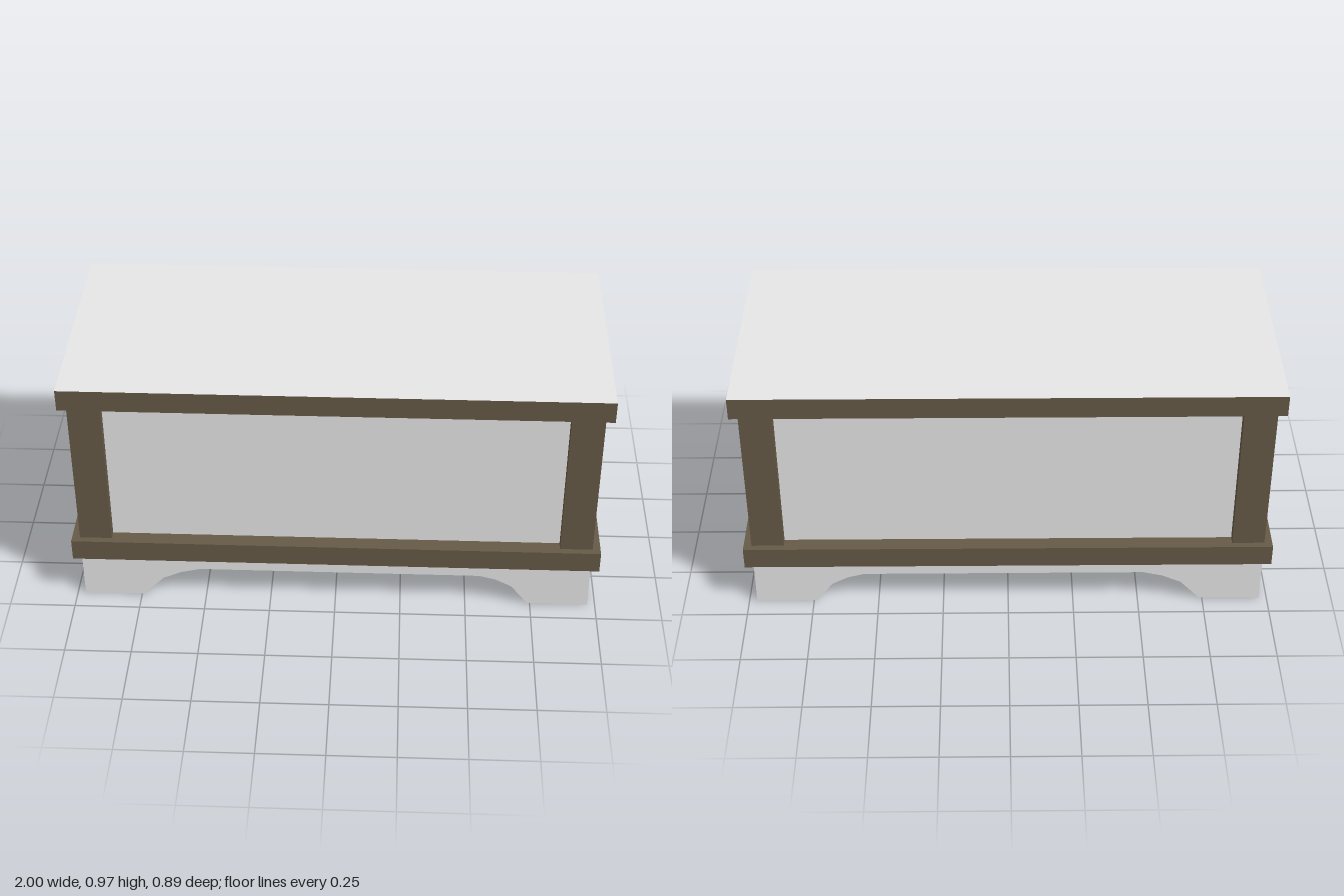
import * as THREE from 'three';
import { toCreasedNormals } from 'three/addons/utils/BufferGeometryUtils.js';

const paint = (name, color) => {
  const m = new THREE.MeshStandardMaterial({ color });
  m.name = name;
  return m;
};

export function createModel() {
  const grey = paint('light grey', 0xe6e6e6);
  const brown = paint('dark wood', 0x665947);
  const chest = new THREE.Group();
  chest.name = 'chest';

  const add = (name, geometry, material, x = 0, y = 0, z = 0, turn = 0) => {
    const mesh = new THREE.Mesh(geometry, material);
    mesh.name = name;
    mesh.position.set(x, y, z);
    mesh.rotation.y = turn;
    chest.add(mesh);
  };
  const box = (w, h, d) => new THREE.BoxGeometry(w, h, d);
  const extrude = (shape, depth) => new THREE.ExtrudeGeometry(shape, { depth, bevelEnabled: false });

  // Plinth boards with an arch cut from the lower edge, softly shaded underneath
  const W = 0.97, D = 0.42, T = 0.1;
  const archedBoard = (half, arch) => {
    const points = [[-half, 0], ...arch, [half, 0], [half, 0.2], [-half, 0.2]];
    const shape = new THREE.Shape(points.map(([x, y]) => new THREE.Vector2(x, y)));
    return toCreasedNormals(extrude(shape, T), 1);
  };
  const longBoard = archedBoard(W, [[-0.74, 0], [-0.662, 0.083], [-0.59, 0.115], [-0.517, 0.132],
    [0.55, 0.132], [0.615, 0.115], [0.675, 0.083], [0.74, 0]]);
  const shortBoard = archedBoard(D - T, [[-0.209, 0], [-0.145, 0.079], [-0.049, 0.123],
    [0.049, 0.123], [0.145, 0.079], [0.209, 0]]);
  add('plinthFront', longBoard, grey, 0, 0, D - T);
  add('plinthBack', longBoard, grey, 0, 0, -D);
  add('plinthLeft', shortBoard, grey, W - T, 0, 0, Math.PI / 2);
  add('plinthRight', shortBoard, grey, -W + T, 0, 0, -Math.PI / 2);

  // Bottom rail running around the body, open in the middle
  const rectangle = (x, z) => [[-x, -z], [x, -z], [x, z], [-x, z]].map(p => new THREE.Vector2(...p));
  const ring = new THREE.Shape(rectangle(1, 0.445));
  ring.holes.push(new THREE.Path(rectangle(0.94, 0.38)));
  const rail = extrude(ring, 0.085);
  rail.rotateX(-Math.PI / 2);
  add('bottomRail', rail, brown, 0, 0.19, 0);

  // Recessed body panels, with the floor level with the top of the bottom rail
  add('body', box(1.89, 0.63, 0.772), grey, 0, 0.585, 0);

  // Corner posts
  for (const x of [-1, 1]) {
    for (const z of [-1, 1]) {
      add('cornerPost', box(0.122, 0.63, 0.121), brown, x * (W - 0.061), 0.587, z * (D - 0.0605));
    }
  }

  // Lid with wooden edges and grey faces
  add('lid', box(2, 0.084, 0.89), [brown, brown, grey, grey, brown, brown], 0, 0.924, 0);

  return chest;
}
